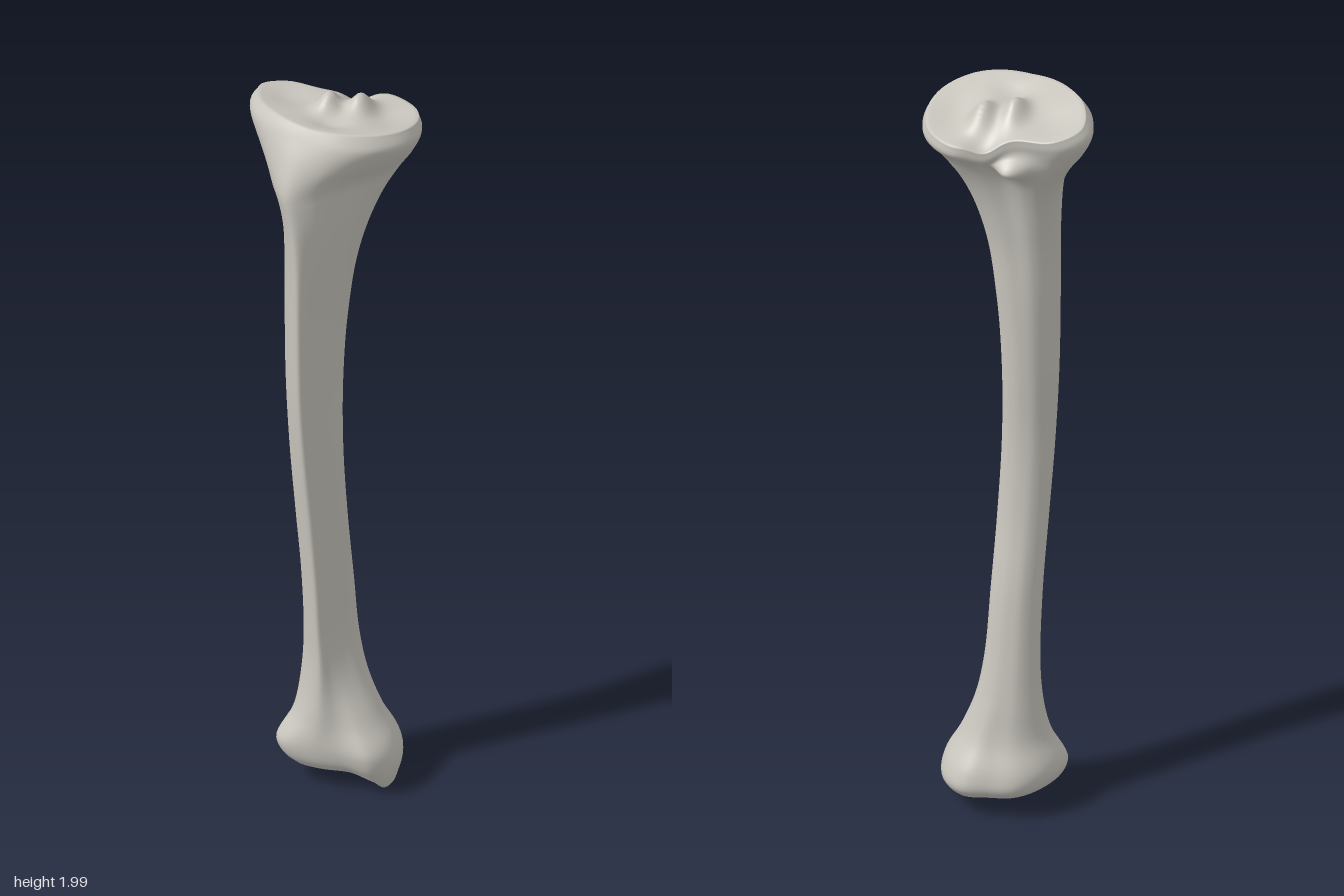
import * as THREE from 'three';

const SEGMENTS = 104, WALL_RINGS = 110, CAP_RINGS = 20;

// Outlines (x, z), counter-clockwise from above, starting at the front crest
const OUTLINES = {
  ankle: [[-0.03, 0.06], [0.05, 0.05], [0.12, 0.05], [0.16, 0], [0.165, -0.06], [0.13, -0.13], [0.07, -0.165],
    [0, -0.15], [-0.06, -0.13], [-0.1, -0.09], [-0.125, -0.03], [-0.13, 0.02], [-0.1, 0.05]],
  shaft: [[0, 1], [0.3, 0.7], [0.62, 0.3], [0.92, -0.1], [1, -0.45], [0.75, -0.85], [0.3, -1],
    [-0.1, -0.98], [-0.5, -0.85], [-0.85, -0.5], [-1, -0.1], [-0.8, 0.3], [-0.4, 0.75]],
  neck: [[-0.05, 0.185], [0, 0.16], [0.06, 0.09], [0.12, 0.02], [0.15, -0.04], [0.12, -0.09], [0.06, -0.1],
    [0, -0.085], [-0.06, -0.09], [-0.11, -0.08], [-0.14, -0.03], [-0.13, 0.04], [-0.1, 0.13]],
  plateau: [[-0.04, 0.115], [0.07, 0.115], [0.15, 0.08], [0.205, 0.01], [0.215, -0.07], [0.18, -0.145], [0.09, -0.19],
    [0, -0.155], [-0.06, -0.13], [-0.16, -0.12], [-0.215, -0.06], [-0.185, 0.03], [-0.12, 0.085]],
};

// Levels: y, outline (0 ankle, 1 shaft, 2 neck, 3 plateau), min x, max x, min z, max z
const LEVELS = [
  [0.055, 0, -0.100, 0.155, -0.145, 0.035],
  [0.08, 0, -0.122, 0.165, -0.165, 0.052],
  [0.12, 0, -0.135, 0.162, -0.163, 0.062],
  [0.20, 0.4, -0.102, 0.120, -0.127, 0.060],
  [0.30, 0.8, -0.085, 0.080, -0.105, 0.057],
  [0.40, 1, -0.077, 0.060, -0.090, 0.058],
  [0.60, 1, -0.075, 0.050, -0.065, 0.075],
  [0.80, 1, -0.080, 0.045, -0.033, 0.100],
  [1.00, 1, -0.088, 0.040, -0.020, 0.127],
  [1.20, 1, -0.095, 0.040, -0.027, 0.150],
  [1.40, 1.1, -0.098, 0.052, -0.035, 0.165],
  [1.60, 1.4, -0.102, 0.082, -0.045, 0.180],
  [1.75, 1.9, -0.122, 0.130, -0.075, 0.186],
  [1.82, 2.1, -0.155, 0.168, -0.108, 0.184],
  [1.87, 2.6, -0.193, 0.198, -0.145, 0.165],
  [1.92, 3, -0.217, 0.215, -0.180, 0.138],
  [1.955, 3, -0.200, 0.203, -0.182, 0.118],
];
const BOTTOM = LEVELS[0][0], TOP = LEVELS[LEVELS.length - 1][0];

const bump = (u, v) => Math.exp(-u * u - v * v);
const { smoothstep, lerp } = THREE.MathUtils;

// Sample an outline and stretch it to fill the square from -1 to 1
function unitOutline(points) {
  const curve = new THREE.CatmullRomCurve3(points.map(([x, z]) => new THREE.Vector3(x, 0, z)), true);
  const ring = Array.from({ length: SEGMENTS }, (_, i) => curve.getPoint(i / SEGMENTS));
  const box = new THREE.Box3().setFromPoints(ring);
  const c = box.getCenter(new THREE.Vector3()), s = box.getSize(new THREE.Vector3());
  return ring.map(p => [2 * (p.x - c.x) / s.x, 2 * (p.z - c.z) / s.z]);
}

// Knee surface: sloping plateau, two dished condyles, twin eminences and a rear notch
function kneeHeight(x, z) {
  return 1.955 + 0.2 * z - 0.1 * Math.min(x, 0)
    + 0.045 * bump((x - 0.055) / 0.028, (z + 0.065) / 0.045)
    + 0.045 * bump((x + 0.015) / 0.028, (z + 0.035) / 0.045)
    - 0.014 * bump((x - 0.13) / 0.055, (z + 0.06) / 0.08)
    - 0.012 * bump((x + 0.12) / 0.06, (z + 0.04) / 0.06)
    - 0.012 * bump((x - 0.02) / 0.05, (z - 0.05) / 0.035)
    - 0.025 * bump((x - 0.02) / 0.04, (z + 0.15) / 0.035);
}

// Ankle surface: shallow arch with the inner malleolus hanging below it
function ankleHeight(x, z) {
  return 0.055 - 0.056 * bump((x - 0.13) / 0.034, (z + 0.025) / 0.045)
    + 0.018 * bump((x - 0.01) / 0.09, (z + 0.05) / 0.06);
}

function boneGeometry() {
  const outlines = Object.values(OUTLINES).map(unitOutline);
  const spline = new THREE.CubicInterpolant(
    new Float32Array(LEVELS.map(l => l[0])), new Float32Array(LEVELS.flatMap(l => l.slice(1))), 5);

  // One closed ring at a level, shrunk towards its centre for the end caps
  const positions = [];
  function addRing(y, scale) {
    const [s, x0, x1, z0, z1] = spline.evaluate(y);
    const shape = THREE.MathUtils.clamp(s, 0, 3), k = Math.min(2, Math.floor(shape));
    for (let j = 0; j < SEGMENTS; j++) {
      const a = outlines[k][j], b = outlines[k + 1][j];
      const u = lerp(a[0], b[0], shape - k), v = lerp(a[1], b[1], shape - k);
      const x = (x0 + x1) / 2 + scale * u * (x1 - x0) / 2;
      let z = (z0 + z1) / 2 + scale * v * (z1 - z0) / 2;
      const h = y + (kneeHeight(x, z) - TOP) * smoothstep(y, 1.8, TOP)
        + (ankleHeight(x, z) - BOTTOM) * (1 - smoothstep(y, BOTTOM, 0.15));
      // Fibular facet under the rear outer condyle
      if (scale === 1 && v < 0) z -= 0.06 * bump((x + 0.045) / 0.045, (y - 1.855) / 0.035);
      positions.push(x, h, z);
    }
  }
  for (let i = 0; i < CAP_RINGS; i++) addRing(BOTTOM, i / CAP_RINGS);
  for (let i = 0; i <= WALL_RINGS; i++) {
    // Rings gather towards both ends
    const t = i / WALL_RINGS;
    addRing(lerp(BOTTOM, TOP, lerp(t, smoothstep(t, 0, 1), 0.8)), 1);
  }
  for (let i = CAP_RINGS - 1; i >= 0; i--) addRing(TOP, i / CAP_RINGS);

  const index = [], rings = positions.length / 3 / SEGMENTS;
  for (let i = 0; i < rings - 1; i++) {
    for (let j = 0; j < SEGMENTS; j++) {
      const n = (j + 1) % SEGMENTS;
      const a = i * SEGMENTS + j, b = i * SEGMENTS + n, c = a + SEGMENTS, d = b + SEGMENTS;
      index.push(a, b, d, a, d, c);
    }
  }
  const geometry = new THREE.BufferGeometry();
  geometry.setAttribute('position', new THREE.Float32BufferAttribute(positions, 3));
  geometry.setIndex(index);
  geometry.computeVertexNormals();
  return geometry;
}

export function createModel() {
  const bone = new THREE.MeshStandardMaterial({ color: 0xcac7bf });
  bone.name = 'bone';
  const shinBone = new THREE.Mesh(boneGeometry(), bone);
  shinBone.name = 'shinBone';
  const group = new THREE.Group();
  group.name = 'tibia';
  group.add(shinBone);
  return group;
}
